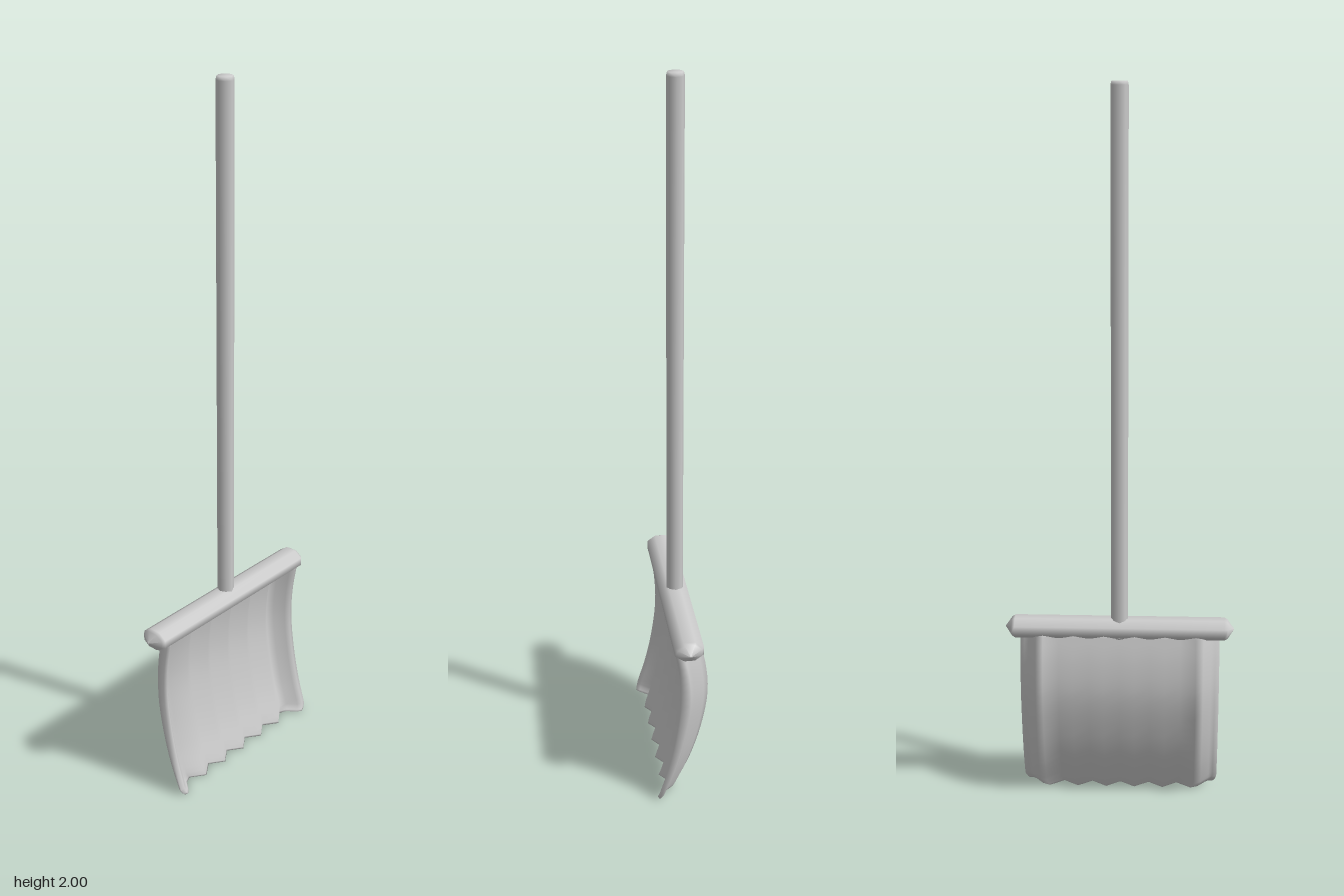
import * as THREE from 'three';

const material = new THREE.MeshStandardMaterial({ color: 0xcccccc });

function add(group, name, geometry) {
  const mesh = new THREE.Mesh(geometry, material);
  mesh.name = name;
  group.add(mesh);
  return mesh;
}

// Cross-section of the pleated blade: [x, front depth, thickness factor]
function pleatSection() {
  const right = [[0.214, -0.045, 1], [0.236, -0.036, 0.85], [0.258, -0.01, 0.75], [0.27, 0, 0.75], [0.282, -0.003, 0.55]];
  const left = right.slice(1).reverse().map(([x, d, k]) => [-x, d, k]);
  const middle = [];
  for (let i = -5; i < 5; i++) middle.push([i * 0.0429, i % 2 ? -0.045 : -0.015, 1]);
  return [...left, ...middle, ...right];
}

// Curved, pleated blade swept upward; thickness and curve vary with height
function bladeGeometry() {
  const section = pleatSection();
  // Spine points: (thickness, height, depth of the rim)
  const spine = new THREE.CatmullRomCurve3([
    [0.006, 0, 0.074], [0.012, 0.02, 0.069], [0.025, 0.1, 0.045], [0.035, 0.2, 0.024],
    [0.04, 0.32, 0.01], [0.036, 0.42, 0.014], [0.028, 0.515, 0.03],
  ].map((p) => new THREE.Vector3(...p)));
  const rows = spine.getPoints(24);
  const n = section.length;
  const ring = n * 2;
  const positions = [];
  const index = [];
  rows.forEach(({ x: t, y, z: c }, r) => {
    // Round the lower corners
    const s = y < 0.025 ? 1 - 0.04 * (1 - y / 0.025) ** 2 : 1;
    for (const [x, d] of section) positions.push(x * s, y, c + d);
    for (const [x, d, k] of [...section].reverse()) positions.push(x * s, y, c + d - t * k);
    if (r === 0) return;
    for (let i = 0; i < ring; i++) {
      const j = (i + 1) % ring;
      const a = (r - 1) * ring;
      const b = r * ring;
      index.push(a + i, a + j, b + j, a + i, b + j, b + i);
    }
  });
  // Close the bottom and top edges
  const top = (rows.length - 1) * ring;
  for (let i = 0; i < n - 1; i++) {
    const j = ring - 1 - i;
    index.push(i, j, j - 1, i, j - 1, i + 1);
    index.push(top + i, top + i + 1, top + j - 1, top + i, top + j - 1, top + j);
  }
  const geometry = new THREE.BufferGeometry();
  geometry.setAttribute('position', new THREE.Float32BufferAttribute(positions, 3));
  geometry.setIndex(index);
  geometry.computeVertexNormals();
  return geometry;
}

export function createModel() {
  const group = new THREE.Group();
  group.name = 'shovel';

  add(group, 'blade', bladeGeometry());

  // Crossbar with pointed ends, wider in depth than in height
  const half = [[0, 0.322], [0.036, 0.303], [0.043, 0.294]];
  const profile = [...half.map(([r, y]) => [r, -y]), ...[...half].reverse()];
  const barGeometry = new THREE.LatheGeometry(profile.map((p) => new THREE.Vector2(...p)), 8, Math.PI / 8);
  barGeometry.rotateZ(Math.PI / 2);
  barGeometry.scale(1, 0.72, 1);
  add(group, 'crossbar', barGeometry).position.set(0, 0.512, -0.01);

  // Slim eight-sided handle with a slightly eased top
  const handle = [[0, 0.483], [0.02, 0.483], [0.0235, 0.49], [0.0235, 1.99], [0.021, 2], [0, 2]];
  const handleGeometry = new THREE.LatheGeometry(handle.map((p) => new THREE.Vector2(...p)), 8);
  add(group, 'handle', handleGeometry).position.z = -0.012;

  return group;
}
